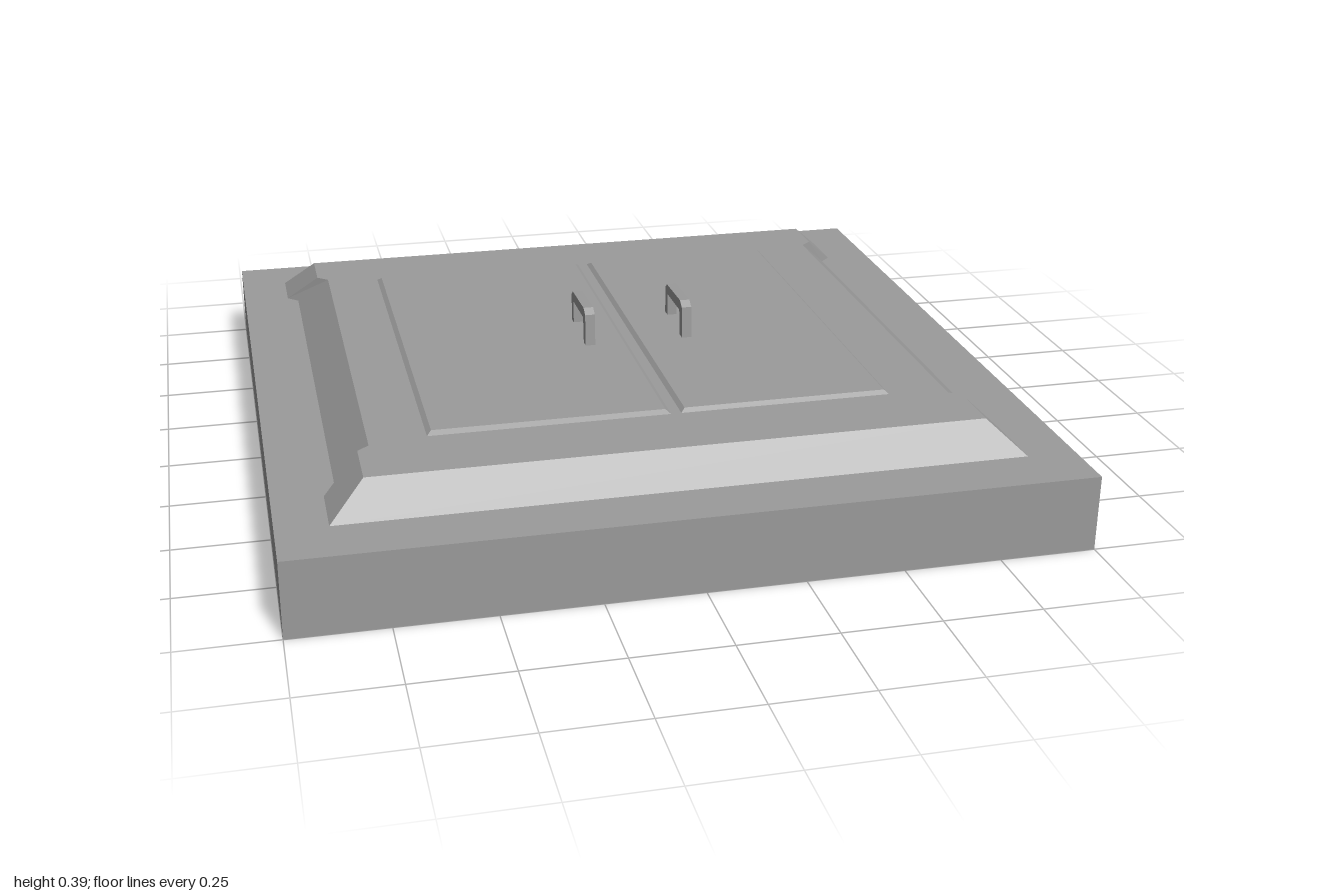
import * as THREE from 'three';

const material = new THREE.MeshStandardMaterial({ color: 0x9b9b9b, flatShading: true, side: THREE.DoubleSide });

// Outlines are [x, z] loops, counter-clockwise seen from above.
const rect = (x0, x1, z0, z1) => [[x0, z1], [x1, z1], [x1, z0], [x0, z0]];

// Outline of the raised frame: wide ends, sides set in between the notches.
function notched(xEnd, xSide, zFront, zBack, front, back) {
  const right = [
    [xEnd, zFront], [xEnd, front[0]], [xSide, front[1]],
    [xSide, back[1]], [xEnd, back[0]], [xEnd, zBack],
  ];
  const left = right.map(([x, z]) => [-x, z]).reverse();
  return [...right, ...left];
}

const toVectors = (loop) => loop.map(([x, z]) => new THREE.Vector2(x, -z));

// Flat sheet facing up, with optional openings.
function sheet(loop, y, openings = []) {
  const shape = new THREE.Shape(toVectors(loop));
  shape.holes = openings.map((o) => new THREE.Path(toVectors(o)));
  return new THREE.ShapeGeometry(shape).rotateX(-Math.PI / 2).translate(0, y, 0);
}

// Band of faces from a lower loop to an upper loop.
function band(lower, y0, upper, y1) {
  const p = [];
  lower.forEach((a, i) => {
    const j = (i + 1) % lower.length;
    const b = lower[j], c = upper[j], d = upper[i];
    const A = [a[0], y0, a[1]], B = [b[0], y0, b[1]], C = [c[0], y1, c[1]], D = [d[0], y1, d[1]];
    p.push(...A, ...B, ...C, ...A, ...C, ...D);
  });
  const g = new THREE.BufferGeometry();
  g.setAttribute('position', new THREE.Float32BufferAttribute(p, 3));
  g.computeVertexNormals();
  return g;
}

export function createModel() {
  const model = new THREE.Group();
  const add = (name, geometry, parent = model) => {
    const mesh = new THREE.Mesh(geometry, material);
    mesh.name = name;
    parent.add(mesh);
    return mesh;
  };

  const baseY = 0.2, frameY = 0.283, doorY = 0.292;
  const outer = rect(-1, 1, -1, 1);
  const foot = notched(0.872, 0.842, 0.85, -0.856, [0.69, 0.667], [-0.715, -0.685]);
  const crown = notched(0.782, 0.752, 0.78, -0.785, [0.628, 0.603], [-0.648, -0.622]);

  // Base, open underneath
  add('baseWalls', band(outer, 0, outer, baseY));
  add('baseLedge', sheet(outer, baseY, [foot]));

  // Sloping frame around the hatch
  const doors = [
    ['rightDoor', rect(-0.606, 0.015, -0.59, 0.58), rect(-0.594, 0.003, -0.577, 0.566)],
    ['leftDoor', rect(0.042, 0.598, -0.59, 0.58), rect(0.053, 0.588, -0.577, 0.568)],
  ];
  add('frameSlope', band(foot, baseY, crown, frameY));
  add('frameTop', sheet(crown, frameY, doors.map((d) => d[1])));

  // Slightly raised double doors
  for (const [name, edge, top] of doors) {
    const door = new THREE.Group();
    door.name = name;
    add(name + 'Bevel', band(edge, frameY, top, doorY), door);
    add(name + 'Panel', sheet(top, doorY), door);
    model.add(door);
  }

  // Bent pull handles: profile in z and y, extruded across x
  const profile = [
    [0.1, 0.293], [0.094, 0.38], [0.073, 0.394], [-0.075, 0.389], [-0.092, 0.376], [-0.092, 0.3],
    [-0.065, 0.3], [-0.065, 0.362], [0.066, 0.364], [0.074, 0.293],
  ].map(([z, y]) => new THREE.Vector2(-z, y));
  const width = 0.027;
  const handle = new THREE.ExtrudeGeometry(new THREE.Shape(profile), { depth: width, bevelEnabled: false })
    .translate(0, 0, -width / 2)
    .rotateY(Math.PI / 2);
  add('rightHandle', handle).position.x = -0.092;
  add('leftHandle', handle).position.x = 0.181;

  return model;
}
